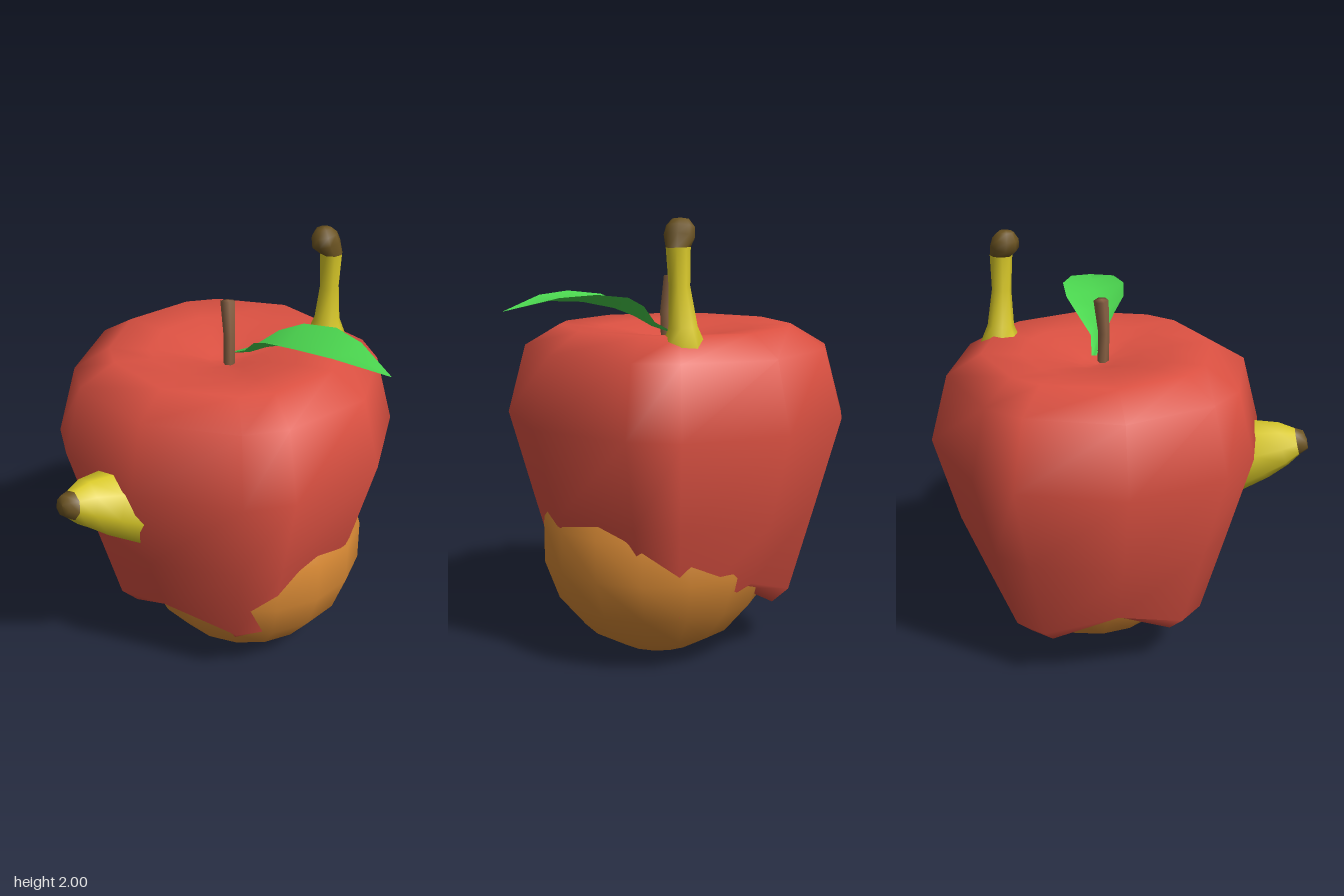
import * as THREE from 'three';

const mat = (color, side = THREE.FrontSide) =>
  new THREE.MeshStandardMaterial({ color, side, roughness: 0.8 });
const vec = (p) => new THREE.Vector3(...p);

// Joins cross-sections (arrays of Vector3) into one smooth surface.
function skin(rings, closed = true) {
  const n = rings[0].length;
  const index = [];
  for (let j = 0; j < rings.length - 1; j++) {
    for (let i = 0; i < (closed ? n : n - 1); i++) {
      const k = (i + 1) % n;
      const a = j * n + i, b = j * n + k, c = a + n, d = b + n;
      index.push(a, c, b, b, c, d);
    }
  }
  const geo = new THREE.BufferGeometry().setFromPoints(rings.flat());
  geo.setIndex(index);
  geo.computeVertexNormals();
  return geo;
}

// Round cross-sections along a path of [x, y, z, radius] stations.
function sweepRings(stations, sides) {
  const pts = stations.map((s) => vec(s.slice(0, 3)));
  return pts.map((p, j) => {
    const t = pts[Math.min(j + 1, pts.length - 1)].clone()
      .sub(pts[Math.max(j - 1, 0)]).normalize();
    const u = new THREE.Vector3(0, 0, 1).addScaledVector(t, -t.z).normalize();
    const v = u.clone().cross(t);
    return Array.from({ length: sides }, (_, i) => {
      const a = (i / sides) * Math.PI * 2;
      return p.clone()
        .addScaledVector(u, Math.cos(a) * stations[j][3])
        .addScaledVector(v, Math.sin(a) * stations[j][3]);
    });
  });
}

export function createModel() {
  const model = new THREE.Group();
  const add = (name, geo, material) => {
    const mesh = new THREE.Mesh(geo, material);
    mesh.name = name;
    model.add(mesh);
    return mesh;
  };

  // Apple: four lobes, each a narrow pair of ribs, with raised notches between them underneath
  const angles = [];
  for (let q = 0; q < 4; q++) angles.push(q * 90 - 8.5, q * 90 + 8.5, q * 90 + 45);
  const profile = [ // radius, height, notch rise
    [0, 0.42, 0], [0.28, 0.35, 0.05], [0.47, 0.22, 0.15], [0.545, 0.29, 0.12],
    [0.66, 0.7, 0], [0.773, 1.11, 0], [0.69, 1.42, 0], [0.53, 1.515, 0],
    [0.35, 1.5, 0], [0.2, 1.475, 0], [0.08, 1.44, 0], [0, 1.43, 0],
  ];
  const appleRings = profile.map(([r, y, rise]) => angles.map((deg, i) => {
    const a = THREE.MathUtils.degToRad(deg);
    return new THREE.Vector3(0.035 + r * Math.cos(a), y + (i % 3 === 2 ? rise : 0), r * Math.sin(a));
  }));
  add('apple', skin(appleRings), mat(0xdc5142));

  // Stem
  const stem = [
    [0.035, 1.4, 0.04, 0], [0.035, 1.4, 0.04, 0.026], [0.033, 1.57, 0.045, 0.026],
    [0.031, 1.73, 0.02, 0.034], [0.031, 1.735, 0.02, 0],
  ];
  add('appleStem', skin(sweepRings(stem, 6)), mat(0x8a6244));

  // Leaf: V-shaped cross-sections along an arched midrib
  const leaf = [ // midrib x, y, z, half width, edge lift
    [0.055, 1.47, 0.0, 0.012, 0], [0.11, 1.51, 0.1, 0.03, 0.02], [0.17, 1.56, 0.17, 0.09, 0.05],
    [0.23, 1.6, 0.25, 0.135, 0.055], [0.33, 1.635, 0.375, 0.147, 0.04],
    [0.425, 1.645, 0.5, 0.105, 0.02], [0.56, 1.61, 0.67, 0.002, 0],
  ];
  const leafRings = leaf.map(([x, y, z, w, lift]) => [-1, 0, 1].map((s) =>
    new THREE.Vector3(x + s * w * 0.8, y + Math.abs(s) * lift, z - s * w * 0.6)));
  add('leaf', skin(leafRings, false), mat(0x4bd64f, THREE.DoubleSide));

  // Orange, sunk into the underside of the apple
  const orange = add('orange', new THREE.SphereGeometry(0.545, 16, 9), mat(0xd98a35));
  orange.position.set(0.125, 0.545, 0.07);

  // Banana: one curved fruit passing through the apple, both ends showing
  const banana = [
    [-0.755, 1.07, 0.49, 0.065], [-0.7, 1.055, 0.46, 0.105], [-0.6, 1.02, 0.415, 0.145],
    [-0.46, 0.95, 0.36, 0.17], [-0.25, 0.87, 0.25, 0.18], [0.05, 0.86, 0.1, 0.18],
    [0.33, 1.02, -0.03, 0.17], [0.49, 1.27, -0.09, 0.14], [0.535, 1.46, -0.095, 0.1],
    [0.53, 1.55, -0.09, 0.062], [0.53, 1.72, -0.075, 0.045], [0.53, 1.88, -0.07, 0.052],
  ];
  const bananaRings = sweepRings(banana, 8);
  add('banana', skin(bananaRings), mat(0xd9c928));

  // Brown ends share the outermost banana sections
  const brown = mat(0x6c5422);
  const tip = sweepRings([[-0.795, 1.085, 0.508, 0], [-0.79, 1.083, 0.505, 0.045]], 8);
  add('bananaTip', skin([...tip, bananaRings[0]]), brown);
  const end = sweepRings([
    [0.505, 1.925, -0.072, 0.066], [0.495, 1.965, -0.075, 0.06],
    [0.492, 1.995, -0.075, 0.035], [0.492, 2.0, -0.075, 0],
  ], 8);
  add('bananaStalkEnd', skin([bananaRings[bananaRings.length - 1], ...end]), brown);

  return model;
}
